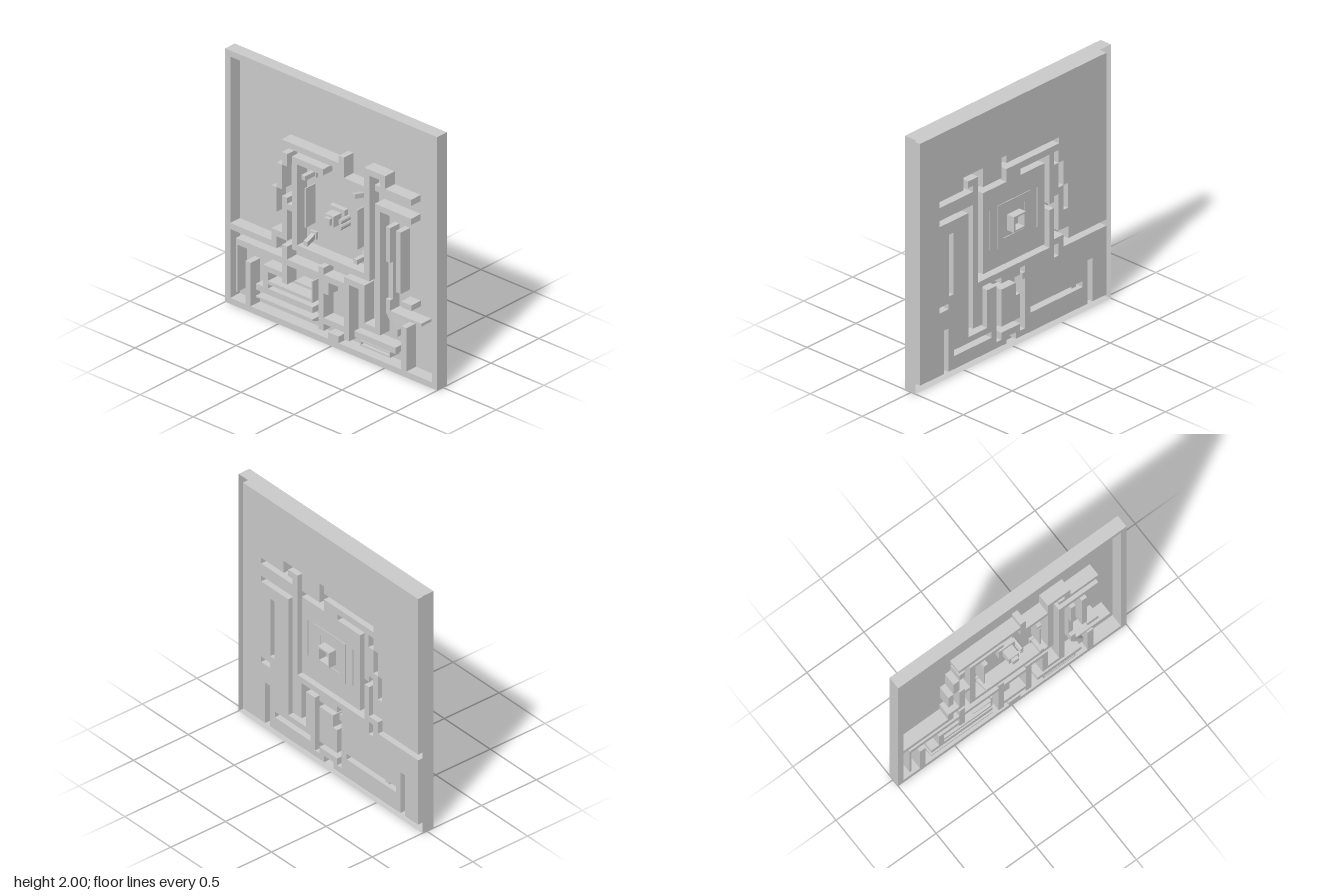
import * as THREE from 'three';

const FLOOR = -0.04, TOP = 0.06, W = 0.048;

// A wall run along a centreline of right-angled steps -> rectangles [x0, x1, y0, y1]
function run(points, w = W) {
  const h = w / 2, out = [];
  for (let i = 1; i < points.length; i++) {
    const [a, b] = points[i - 1], [c, d] = points[i];
    out.push([Math.min(a, c) - h, Math.max(a, c) + h, Math.min(b, d) - h, Math.max(b, d) + h]);
  }
  return out;
}

// Embossed sheet: the floor steps up to the wall tops, leaving the back of each wall hollow
function embossedSheet(rects) {
  const snap = v => Math.round(v * 1000) / 1000;
  const sorted = list => [...new Set(list.map(snap))].sort((a, b) => a - b);
  const xs = sorted([-1, 1, ...rects.flatMap(r => [r[0], r[1]])]);
  const ys = sorted([0, 2, ...rects.flatMap(r => [r[2], r[3]])]);
  const height = (i, j) => {
    if (i < 0 || j < 0 || i >= xs.length - 1 || j >= ys.length - 1) return FLOOR;
    const x = (xs[i] + xs[i + 1]) / 2, y = (ys[j] + ys[j + 1]) / 2;
    return rects.some(r => x > r[0] && x < r[1] && y > r[2] && y < r[3]) ? TOP : FLOOR;
  };
  const pos = [];
  const quad = (a, b, c, d) => pos.push(...a, ...b, ...c, ...a, ...c, ...d);
  for (let i = 0; i < xs.length; i++) for (let j = 0; j < ys.length; j++) {
    const x = xs[i], X = xs[i + 1], y = ys[j], Y = ys[j + 1];
    const h = height(i, j), l = height(i - 1, j), b = height(i, j - 1);
    if (X !== undefined && Y !== undefined) quad([x, y, h], [X, y, h], [X, Y, h], [x, Y, h]);
    if (Y !== undefined && l !== h) quad([x, y, l], [x, y, h], [x, Y, h], [x, Y, l]);
    if (X !== undefined && b !== h) quad([x, y, h], [x, y, b], [X, y, b], [X, y, h]);
  }
  const g = new THREE.BufferGeometry();
  g.setAttribute('position', new THREE.Float32BufferAttribute(pos, 3));
  g.computeVertexNormals();
  return g;
}

export function createModel() {
  const model = new THREE.Group();
  const mat = new THREE.MeshStandardMaterial({ color: 0xcccccc, flatShading: true, side: THREE.DoubleSide });
  const add = (name, geometry) => {
    const m = new THREE.Mesh(geometry, mat);
    m.name = name;
    model.add(m);
    return m;
  };
  const block = (name, x0, x1, y0, y1, z0 = FLOOR, z1 = TOP) =>
    add(name, new THREE.BoxGeometry(x1 - x0, y1 - y0, z1 - z0)
      .translate((x0 + x1) / 2, (y0 + y1) / 2, (z0 + z1) / 2));

  const rim = [[-1, 1, 0, 0.048], [-1, 1, 1.952, 2], [-1, -0.952, 0, 2], [0.952, 1, 0, 2],
    [-0.81, -0.76, 0.04, 0.39], [0.66, 0.71, 0.04, 0.39], [-0.03, 0.07, 0.04, 0.1]];
  const innerCourt = [
    ...run([[-0.95, 0.615], [-0.54, 0.615], [-0.54, 0.71], [-0.44, 0.71], [-0.44, 1]]),
    ...run([[-0.44, 0.955], [-0.345, 0.955]]),
    ...run([[-0.1, 1.345], [-0.345, 1.345], [-0.345, 0.66], [0.335, 0.66], [0.335, 1.495],
      [0.485, 1.495], [0.485, 1.395]]),
    ...run([[0.435, 1.395], [0.73, 1.395]]),
    ...run([[-0.445, 1.445], [0.095, 1.445]]),
    ...run([[0.095, 1.505], [0.095, 1.345], [0.335, 1.345]]),
  ];
  const lowerCourt = [
    ...run([[-0.095, 0.12], [-0.095, 0.568]]),
    ...run([[-0.095, 0.515], [0.145, 0.515]]),
    ...run([[0.145, 0.12], [0.145, 0.565], [0.29, 0.565], [0.29, 0.268], [0.435, 0.268],
      [0.435, 1.245], [0.73, 1.245]]),
    ...run([[-0.095, 0.175], [0.145, 0.175]]),
    ...run([[-0.05, 0.415], [-0.05, 0.5]]),
    ...run([[-0.44, 0.515], [-0.44, 0.615]]),
  ];
  const islands = [
    [-0.465, -0.415, 1.27, 1.37], [-0.515, -0.465, 1.075, 1.27], [-0.56, -0.515, 0.88, 1.075],
    [-0.71, -0.175, 0.198, 0.245], [0.22, 0.605, 0.15, 0.198], [0.61, 0.655, 0.64, 1.125],
    [0.66, 0.755, 0.54, 0.585], [-0.25, -0.24, 0.85, 1.16], [0.24, 0.25, 0.85, 1.16],
  ];
  add('mazePanel', embossedSheet([...rim, ...innerCourt, ...lowerCourt, ...islands]));

  // Solid walls standing on the floor
  const solid = (name, points, w) => run(points, w).forEach(r => block(name, ...r));
  solid('leftLongWall', [[-0.87, 0.515], [-0.12, 0.515]]);
  solid('leftThinWall', [[-0.892, 0.125], [-0.892, 0.532]], 0.014);
  solid('leftHookWall', [[-0.44, 0.365], [-0.44, 0.515]]);
  solid('leftHookWall', [[-0.44, 0.398], [-0.62, 0.398], [-0.62, 0.25]], 0.044);
  solid('shelfWall', [[-0.592, 0.292], [-0.19, 0.292]], 0.026);
  solid('shelfThinWall', [[-0.34, 0.39], [-0.18, 0.39]], 0.01);
  solid('shelfThinWall', [[-0.18, 0.3], [-0.18, 0.445]], 0.01);
  block('rightThinBar', 0.56, 0.855, 0.455, 0.477, FLOOR, 0.064);

  // Wedge with its slope facing down
  const wedge = new THREE.Shape([[0.06, 0.15], [0.06, 0.137], [-0.04, 0.1], [-0.04, 0.15]]
    .map(([z, y]) => new THREE.Vector2(-z, y)));
  add('wedgeBar', new THREE.ExtrudeGeometry(wedge, { depth: 0.535, bevelEnabled: false })
    .rotateY(Math.PI / 2).translate(-0.71, 0, 0));

  // Shallow tray at lower right
  const frame = (x, y, hole) => {
    const box = (p, a, b) => p.moveTo(-a, -b).lineTo(a, -b).lineTo(a, b).lineTo(-a, b).closePath();
    const s = box(new THREE.Shape(), x, y);
    s.holes.push(box(new THREE.Path(), x - hole, y - hole));
    return s;
  };
  add('trayRim', new THREE.ExtrudeGeometry(frame(0.143, 0.022, 0.012), { depth: 0.1, bevelEnabled: false })
    .translate(0.413, 0.123, FLOOR));

  // Bent channel at right, lower in its middle stretch
  block('channelTop', 0.515, 0.555, 0.85, 1.125);
  block('channelMiddle', 0.515, 0.555, 0.555, 0.85, FLOOR, 0.03);
  const bend = new THREE.Shape([[0.515, 0.555], [0.515, 0.45], [0.582, 0.35], [0.582, 0.292],
    [0.625, 0.292], [0.625, 0.345], [0.555, 0.45], [0.555, 0.555]].map(p => new THREE.Vector2(...p)));
  add('channelBend', new THREE.ExtrudeGeometry(bend, { depth: 0.1, bevelEnabled: false }).translate(0, 0, FLOOR));

  // Corner posts; two of them lean towards the court's other diagonal
  for (const sx of [-1, 1]) for (const sy of [-1, 1]) {
    const cx = 0.245 * sx, cy = 1.005 + 0.245 * sy, lean = sx === sy ? 1 : 0;
    block('postBase', cx - 0.029, cx + 0.029, cy - 0.029, cy + 0.029, FLOOR, -0.02);
    const g = new THREE.BoxGeometry(0.036, 0.036, 0.12).translate(0, 0, 0.06);
    const p = g.attributes.position;
    for (let i = 0; i < p.count; i++) {
      const k = lean * p.getZ(i) / 0.12 * 0.022;
      p.setXY(i, p.getX(i) - sx * k, p.getY(i) + (sx > 0 ? k : -k));
    }
    g.computeVertexNormals();
    add('cornerPost', g.translate(cx, cy, FLOOR));
  }

  // Centre pedestal with stepped post and side lobes
  const square = (name, h, z0, z1) => block(name, -h, h, 1 - h, 1 + h, z0, z1);
  square('pedestalBase', 0.07, FLOOR, 0);
  square('pedestalPost', 0.042, 0, 0.08);
  square('pedestalTip', 0.026, 0.08, 0.105);
  for (const y of [0.965, 1.01]) {
    const lobe = add('sideLobe', new THREE.CylinderGeometry(0.022, 0.022, 0.1, 10).rotateX(Math.PI / 2));
    lobe.scale.x = 0.65;
    lobe.position.set(0.083, y, 0.012);
  }

  // Back: thin square frame and open square tube
  add('backFrame', new THREE.ExtrudeGeometry(frame(0.168, 0.168, 0.06), { depth: 0.006, bevelEnabled: false })
    .translate(0, 1, -0.047));
  add('backTube', new THREE.ExtrudeGeometry(frame(0.062, 0.062, 0.014), { depth: 0.065, bevelEnabled: false })
    .translate(0, 1, -0.105));
  return model;
}
